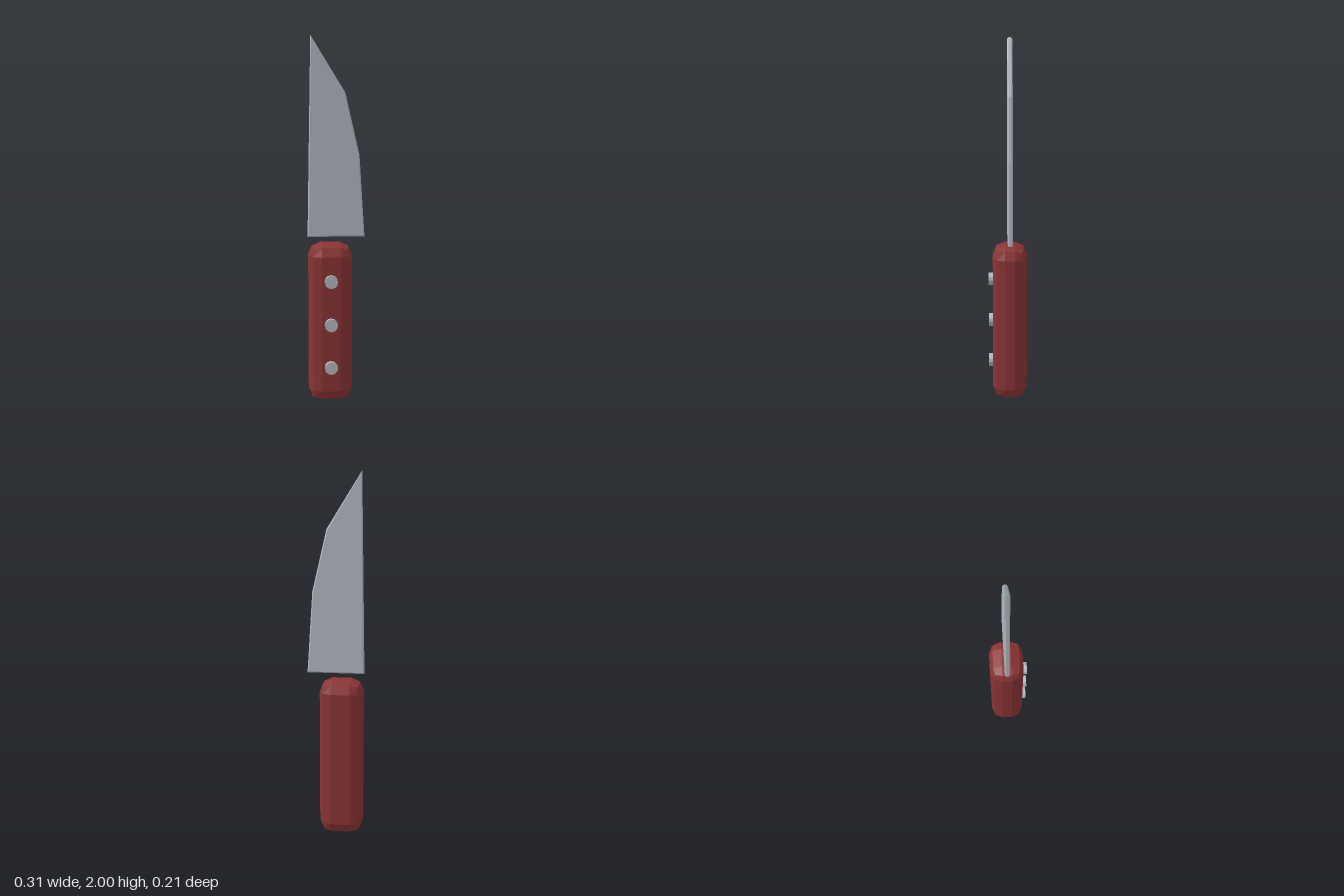
import * as THREE from 'three';
import { RoundedBoxGeometry } from 'three/addons/geometries/RoundedBoxGeometry.js';

function material(name, color) {
  const m = new THREE.MeshStandardMaterial({ color });
  m.name = name;
  return m;
}

// Give every facet its own normal
function faceted(geometry) {
  const g = geometry.index ? geometry.toNonIndexed() : geometry;
  g.computeVertexNormals();
  return g;
}

export function createModel() {
  const model = new THREE.Group();
  model.name = 'knife';
  const steel = material('steel', 0xb0b8c0);
  const red = material('handleRed', 0x8b3434);

  const add = (name, geometry, mat, x, y, z) => {
    const mesh = new THREE.Mesh(faceted(geometry), mat);
    mesh.name = name;
    mesh.position.set(x, y, z);
    model.add(mesh);
    return mesh;
  };

  // Handle: chamfered block with two facets around each edge
  add('handle', new RoundedBoxGeometry(0.238, 0.885, 0.19, 1, 0.068), red, -0.034, 0.4425, -0.013);

  // Blade: angular outline with a narrow bevel all round
  const outline = new THREE.Shape([
    [-0.157, 0.917], [0.155, 0.917], [0.126, 1.363], [0.049, 1.697], [-0.138, 2.0],
  ].map(([x, y]) => new THREE.Vector2(x, y)));
  const blade = new THREE.ExtrudeGeometry(outline, {
    depth: 0.014, bevelEnabled: true, bevelSegments: 1,
    bevelThickness: 0.007, bevelSize: 0.007, bevelOffset: -0.007,
  });
  add('blade', blade, steel, 0, 0, -0.02);

  // Rivets standing proud of the front of the handle
  [0.205, 0.445, 0.685].forEach((y, i) => {
    const pin = new THREE.CylinderGeometry(0.036, 0.036, 0.045, 12).rotateX(Math.PI / 2);
    add(`rivet${i + 1}`, pin, steel, -0.035, y, 0.0825);
  });

  return model;
}
